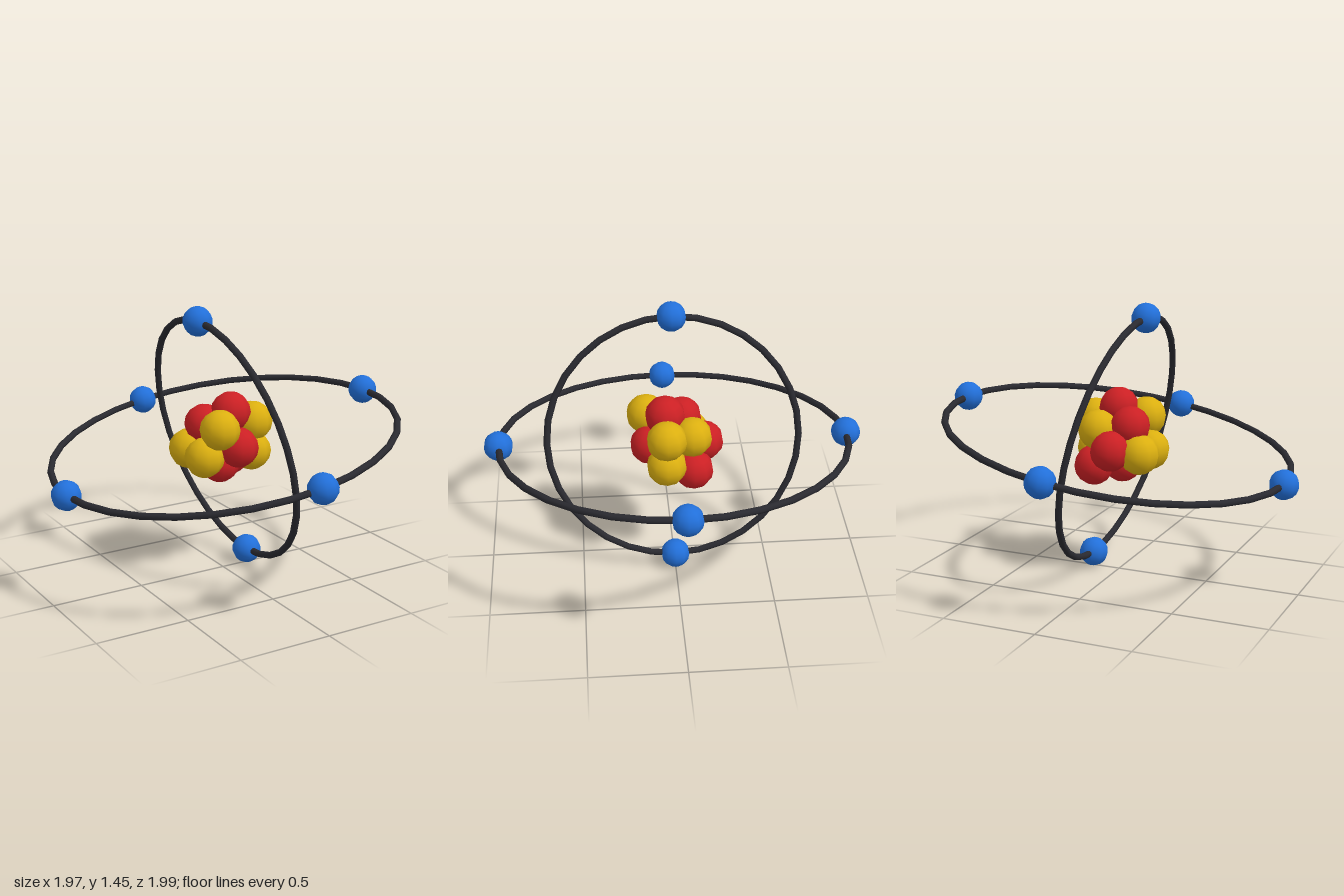
import * as THREE from 'three';

const material = (name, color) => Object.assign(new THREE.MeshStandardMaterial({ color }), { name });

export function createModel() {
  const red = material('red', 0xcc2024);
  const yellow = material('yellow', 0xdcb010);
  const blue = material('blue', 0x2270da);
  const dark = material('dark grey', 0x2a2a30);

  const atom = new THREE.Group();
  atom.name = 'atom';
  const core = new THREE.Group();
  core.name = 'core';
  core.position.y = 0.73;
  atom.add(core);

  function ball(parent, name, geometry, mat, position) {
    const mesh = new THREE.Mesh(geometry, mat);
    mesh.name = name;
    mesh.position.set(...position);
    parent.add(mesh);
  }

  // Nucleus: twelve packed balls, positions relative to the core centre
  const nucleus = new THREE.Group();
  nucleus.name = 'nucleus';
  core.add(nucleus);
  const nucleonGeometry = new THREE.SphereGeometry(0.106, 10, 8);
  const protons = [
    [0.02, 0.16, 0.045], [0.02, -0.015, 0.125], [-0.02, -0.125, 0],
    [0.1, -0.13, -0.1], [-0.02, -0.03, -0.163], [-0.085, 0.085, -0.05],
  ];
  const neutrons = [
    [-0.1, 0.1, 0.138], [0.155, 0.09, 0.045], [-0.15, -0.06, 0.065],
    [0.148, -0.07, 0.045], [0.08, 0.06, -0.092], [-0.155, -0.05, -0.095],
  ];
  protons.forEach((p) => ball(nucleus, 'proton', nucleonGeometry, red, p));
  neutrons.forEach((p) => ball(nucleus, 'neutron', nucleonGeometry, yellow, p));

  // Orbits: a ring lying in the group's own plane, tilted about z, with its electrons
  const electronGeometry = new THREE.SphereGeometry(0.078, 10, 8);
  function orbit(name, radius, tilt, ringGeometry, directions) {
    const group = new THREE.Group();
    group.name = name;
    group.rotation.z = tilt;
    const ring = new THREE.Mesh(ringGeometry, dark);
    ring.name = 'ring';
    group.add(ring);
    directions.forEach((d) => ball(group, 'electron', electronGeometry, blue, d.map((v) => v * radius)));
    core.add(group);
  }
  const torus = (radius) => new THREE.TorusGeometry(radius, 0.018, 8, 32);
  orbit('outerOrbit', 0.92, 0.164, torus(0.92).rotateX(Math.PI / 2),
    [[1, 0, 0], [-1, 0, 0], [0, 0, 1], [0, 0, -1]]);
  orbit('innerOrbit', 0.667, 0.227, torus(0.667).rotateY(Math.PI / 2),
    [[0, 1, 0], [0, -1, 0]]);

  return atom;
}
